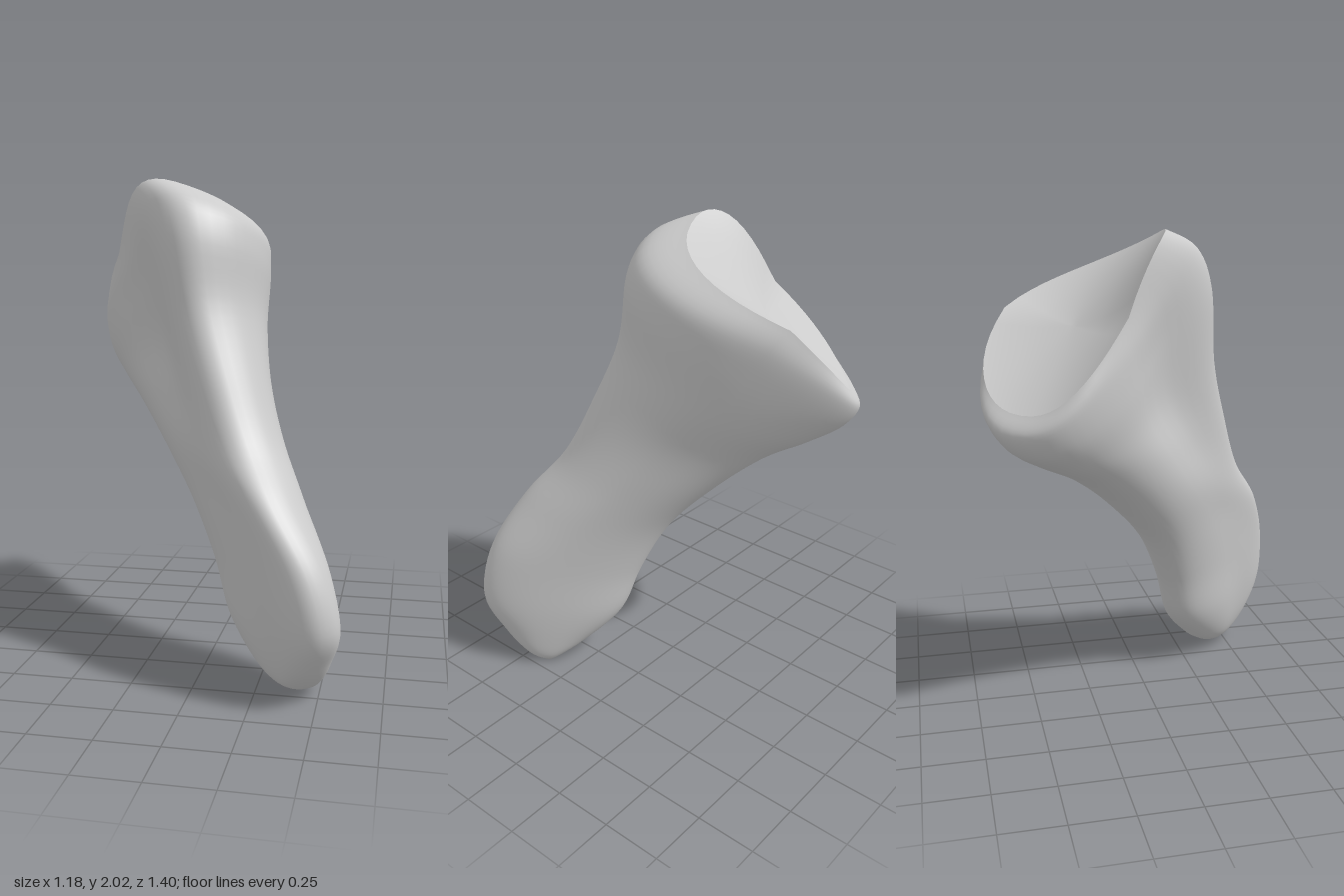
import * as THREE from 'three';

// Bone axes: u runs along the lean (horizontal), w across the thickness.
const U = new THREE.Vector3(0.64, 0, 0.768);
const W = new THREE.Vector3(0.768, 0, -0.64);
const SEG = 48;

// Cross-sections from the lower tip to the rim of the joint face:
// [back u, back y, front u, front y, w min, w max, side lift, hollow, front edge shift in w]
const SECTIONS = [
  [0.56, 0.0, 0.6, 0.0, 0.05, 0.09, 0, 0, 0],
  [0.5, 0.03, 0.69, 0.05, -0.04, 0.12, 0, 0, 0],
  [0.39, 0.1, 0.79, 0.16, -0.1, 0.135, 0, 0.01, -0.01],
  [0.23, 0.25, 0.87, 0.32, -0.145, 0.145, 0, 0.015, -0.01],
  [0.14, 0.46, 0.82, 0.55, -0.165, 0.145, 0, 0, -0.04],
  [0.0, 0.69, 0.66, 0.78, -0.195, 0.155, 0, 0, -0.08],
  [-0.21, 0.89, 0.48, 0.98, -0.225, 0.18, 0, 0, -0.07],
  [-0.42, 1.04, 0.35, 1.22, -0.245, 0.22, 0, 0.03, -0.09],
  [-0.6, 1.13, 0.23, 1.5, -0.26, 0.3, 0.0, 0.06, -0.13],
  [-0.72, 1.2, 0.19, 1.78, -0.28, 0.36, 0.02, 0.05, -0.16],
  [-0.77, 1.29, 0.11, 1.92, -0.28, 0.39, 0.04, 0.02, -0.16],
  [-0.72, 1.36, -0.07, 1.99, -0.26, 0.375, 0.05, 0, -0.15],
];

// Smoothly blend the section values at t in 0..1
function sectionAt(t) {
  const last = SECTIONS.length - 1;
  const f = t * last;
  const i = Math.min(Math.floor(f), last - 1);
  const s = (k) => SECTIONS[Math.max(0, Math.min(last, k))];
  const k = f - i;
  return s(i).map((p1, n) => {
    const p0 = s(i - 1)[n], p2 = s(i + 1)[n], p3 = s(i + 2)[n];
    return 0.5 * (2 * p1 + (p2 - p0) * k + (2 * p0 - 5 * p1 + 4 * p2 - p3) * k * k
      + (3 * p1 - p0 - 3 * p2 + p3) * k * k * k);
  });
}

// One closed ring, optionally scaled towards its centre and sunk
function ring([au, ay, bu, by, w0, w1, lift, hollow, shift], scale = 1, sink = 0) {
  const len = Math.hypot(bu - au, by - ay) || 1;
  const nu = -(by - ay) / len, ny = (bu - au) / len;
  const points = [];
  for (let j = 0; j < SEG; j++) {
    const t = (j / SEG) * Math.PI * 2;
    const power = (v) => Math.sign(v) * Math.pow(Math.abs(v), 0.86);
    const c = power(Math.cos(t)) * scale, s = power(Math.sin(t)) * scale;
    // hollow along the flatter side
    const dent = s < 0 ? hollow * Math.exp(-Math.pow((c - 0.2) / 0.4, 2)) : 0;
    const w = (w0 + w1) / 2 + s * (w1 - w0) / 2 + dent + shift * c * c * (c > 0 ? 1 : 0.25);
    // sides rise, and the front edge slopes down across the thickness
    const up = lift * (s * s - 3 * s * Math.max(c, 0)) - sink;
    const u = (au + bu) / 2 + c * (bu - au) / 2 + nu * up;
    const y = (ay + by) / 2 + c * (by - ay) / 2 + ny * up;
    points.push(new THREE.Vector3().addScaledVector(U, u).addScaledVector(W, w).setY(y));
  }
  return points;
}

// Skin a stack of rings, with optional end caps
function loft(name, rings, capStart, capEnd) {
  const points = rings.flat(), index = [];
  for (let i = 0; i < rings.length - 1; i++) {
    for (let j = 0; j < SEG; j++) {
      const k = (j + 1) % SEG;
      const a = i * SEG + j, b = i * SEG + k;
      index.push(a, b, a + SEG, b, b + SEG, a + SEG);
    }
  }
  const cap = (r, flip) => {
    const centre = new THREE.Vector3();
    rings[r].forEach((p) => centre.addScaledVector(p, 1 / SEG));
    const c = points.push(centre) - 1;
    for (let j = 0; j < SEG; j++) {
      const a = r * SEG + j, b = r * SEG + (j + 1) % SEG;
      index.push(...(flip ? [b, a, c] : [a, b, c]));
    }
  };
  if (capStart) cap(0, true);
  if (capEnd) cap(rings.length - 1, false);
  const geometry = new THREE.BufferGeometry().setFromPoints(points);
  geometry.setIndex(index);
  geometry.computeVertexNormals();
  const mesh = new THREE.Mesh(geometry, new THREE.MeshStandardMaterial({ color: 0xcccccc }));
  mesh.name = name;
  return mesh;
}

export function createModel() {
  const group = new THREE.Group();
  group.name = 'bone';

  // Shaft with its rounded lower end and flared head
  const shaftRings = [];
  for (let i = 0; i <= 66; i++) shaftRings.push(ring(sectionAt(i / 66)));
  group.add(loft('shaft', shaftRings, true, false));

  // Shallow, dished joint face closing the head
  const rim = SECTIONS[SECTIONS.length - 1];
  const faceRings = [1, 0.93, 0.8, 0.6, 0.4, 0.2, 0.05]
    .map((s) => ring(rim, s, 0.03 * (1 - s * s)));
  group.add(loft('jointFace', faceRings, false, true));

  return group;
}
